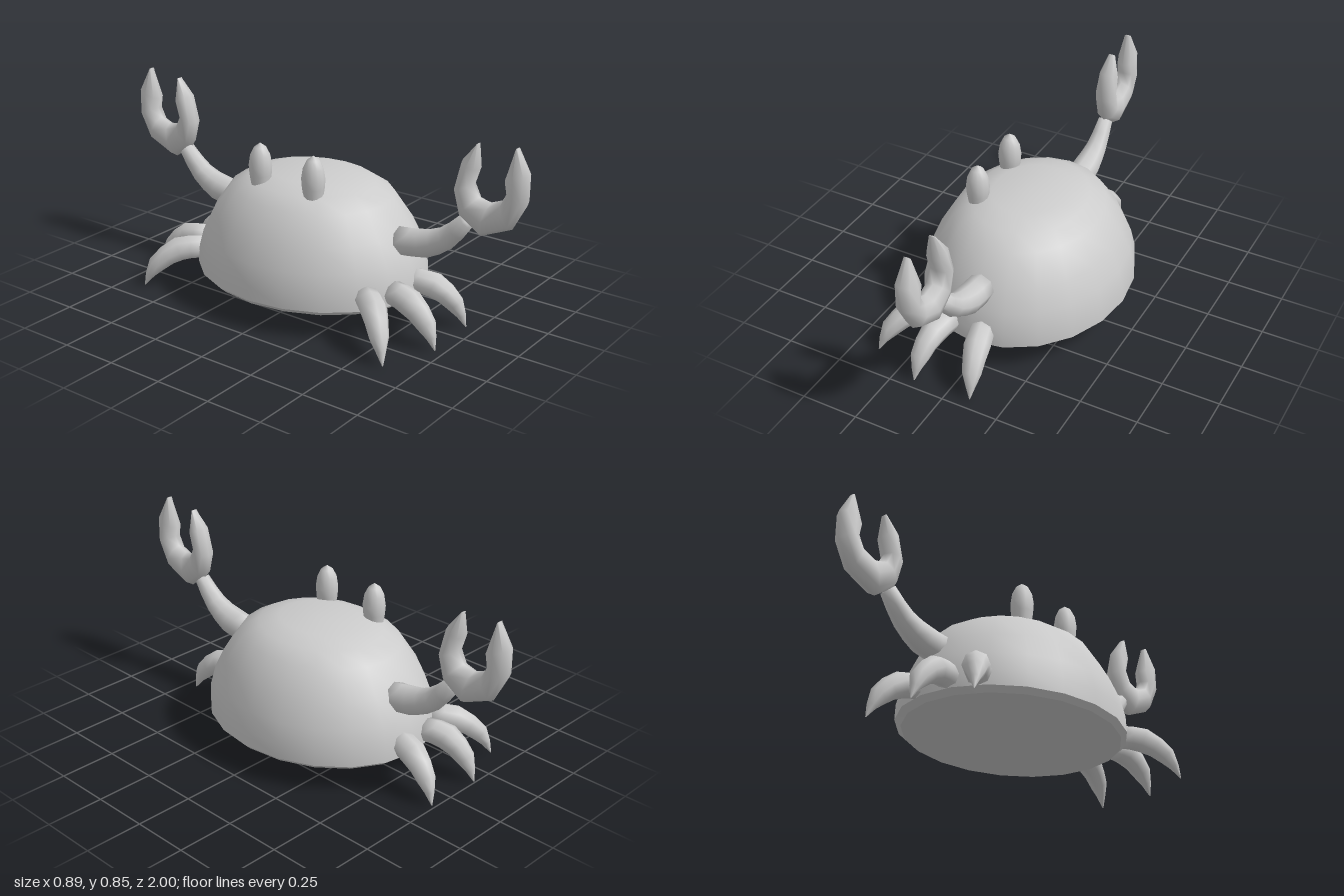
import * as THREE from 'three';
import { toCreasedNormals } from 'three/addons/utils/BufferGeometryUtils.js';

const SIDES = 8;
const BODY_Z = -0.017; // the shell sits slightly behind the claws' centre plane
const material = new THREE.MeshStandardMaterial({ color: 0xcccccc });
const V = (x, y, z) => new THREE.Vector3(x, y, z);

// Smooth closed skin through elliptical rings { c, u, v }, where u x v points along the path
function loft(rings) {
  const pos = [], idx = [];
  for (const { c, u, v } of rings) {
    for (let j = 0; j < SIDES; j++) {
      const a = (j / SIDES) * Math.PI * 2;
      pos.push(...c.clone().addScaledVector(u, Math.cos(a)).addScaledVector(v, Math.sin(a)).toArray());
    }
  }
  const last = rings.length - 1, start = rings.length * SIDES, end = start + 1;
  pos.push(...rings[0].c.toArray(), ...rings[last].c.toArray());
  for (let j = 0; j < SIDES; j++) {
    const k = (j + 1) % SIDES;
    for (let i = 0; i < last; i++) {
      const r = i * SIDES, n = r + SIDES;
      idx.push(r + j, r + k, n + j, r + k, n + k, n + j);
    }
    idx.push(start, k, j, end, last * SIDES + j, last * SIDES + k);
  }
  const geo = new THREE.BufferGeometry();
  geo.setAttribute('position', new THREE.Float32BufferAttribute(pos, 3));
  geo.setIndex(idx);
  geo.computeVertexNormals();
  return geo;
}

// Curved limb with a radius given at each path point
function limb(points, radii, steps) {
  const curve = new THREE.CatmullRomCurve3(points);
  const along = points[points.length - 1].clone().sub(points[0]);
  const side = V(0, 1, 0).cross(along).normalize();
  const rings = [];
  for (let i = 0; i <= steps; i++) {
    const t = i / steps, f = t * (radii.length - 1);
    const k = Math.min(Math.floor(f), radii.length - 2);
    const r = THREE.MathUtils.lerp(radii[k], radii[k + 1], f - k);
    const u = side.clone().cross(curve.getTangent(t)).normalize();
    rings.push({ c: curve.getPoint(t), u: u.multiplyScalar(r), v: side.clone().multiplyScalar(r) });
  }
  return loft(rings);
}

// Pincer stations: outer z, y, inner z, y, half thickness
const PINCER = [
  [0.943, 0.857, 0.935, 0.855, 0.015],
  [1.0, 0.76, 0.892, 0.72, 0.045],
  [0.995, 0.64, 0.908, 0.675, 0.05],
  [0.935, 0.525, 0.887, 0.635, 0.05],
  [0.8, 0.466, 0.84, 0.616, 0.05],
  [0.705, 0.535, 0.785, 0.625, 0.05],
  [0.678, 0.643, 0.758, 0.67, 0.05],
  [0.705, 0.766, 0.782, 0.735, 0.045],
  [0.767, 0.841, 0.773, 0.839, 0.015],
];

function pincer(s) {
  return loft(PINCER.map(([oz, oy, iz, iy, h]) => ({
    c: V(0.01, (oy + iy) / 2, (s * (oz + iz)) / 2),
    u: V(0, (oy - iy) / 2, (s * (oz - iz)) / 2),
    v: V(-s * h, 0, 0),
  })));
}

// Leg paths on one flank, from shell to tip
const LEGS = [
  ['leadingLeg', [[-0.22, 0.18, 0.42], [-0.285, 0.17, 0.5], [-0.355, 0.1, 0.575], [-0.39, 0.004, 0.617]]],
  ['middleLeg', [[-0.115, 0.18, 0.48], [-0.138, 0.17, 0.575], [-0.152, 0.1, 0.665], [-0.157, 0.004, 0.71]]],
  ['trailingLeg', [[0.03, 0.18, 0.45], [0.062, 0.17, 0.565], [0.086, 0.1, 0.655], [0.1, 0.004, 0.7]]],
];

export function createModel() {
  const group = new THREE.Group();
  const add = (name, geo) => {
    const mesh = new THREE.Mesh(geo, material);
    mesh.name = name;
    group.add(mesh);
    return mesh;
  };
  const profile = (pts) => pts.map(([r, y]) => new THREE.Vector2(r, y));

  // Domed shell with a flat crown and flat belly
  const shell = new THREE.LatheGeometry(profile([
    [0, 0.105], [0.42, 0.105], [0.443, 0.127], [0.44, 0.195], [0.42, 0.28],
    [0.38, 0.375], [0.308, 0.492], [0.24, 0.538], [0.16, 0.566], [0, 0.566],
  ]), 20);
  shell.scale(1, 1, 1.19);
  add('shell', toCreasedNormals(shell, 0.6)).position.z = BODY_Z;

  const eyeProfile = profile([
    [0.036, 0.5], [0.047, 0.57], [0.05, 0.61], [0.043, 0.655], [0.026, 0.69], [0, 0.709],
  ]);

  for (const s of [1, -1]) {
    const flank = s > 0 ? 'front' : 'back';

    // Bullet-shaped eye
    add(flank + 'Eye', new THREE.LatheGeometry(eyeProfile, 12))
      .position.set(-0.178, 0, BODY_Z + s * 0.138);

    // Arm and its pincer
    const arm = [[0.355, 0.43], [0.37, 0.54], [0.42, 0.645], [0.515, 0.735]];
    add(flank + 'Arm', limb(arm.map(([y, z]) => V(0.006, y, s * z)), [0.062, 0.062, 0.048, 0.034], 6));
    add(flank + 'Pincer', pincer(s));

    // Curved pointed legs
    for (const [name, path] of LEGS) {
      const pts = path.map(([x, y, z]) => V(x, y, BODY_Z + s * (z - BODY_Z)));
      add(flank + name[0].toUpperCase() + name.slice(1), limb(pts, [0.052, 0.056, 0.04, 0.002], 6));
    }
  }
  return group;
}
